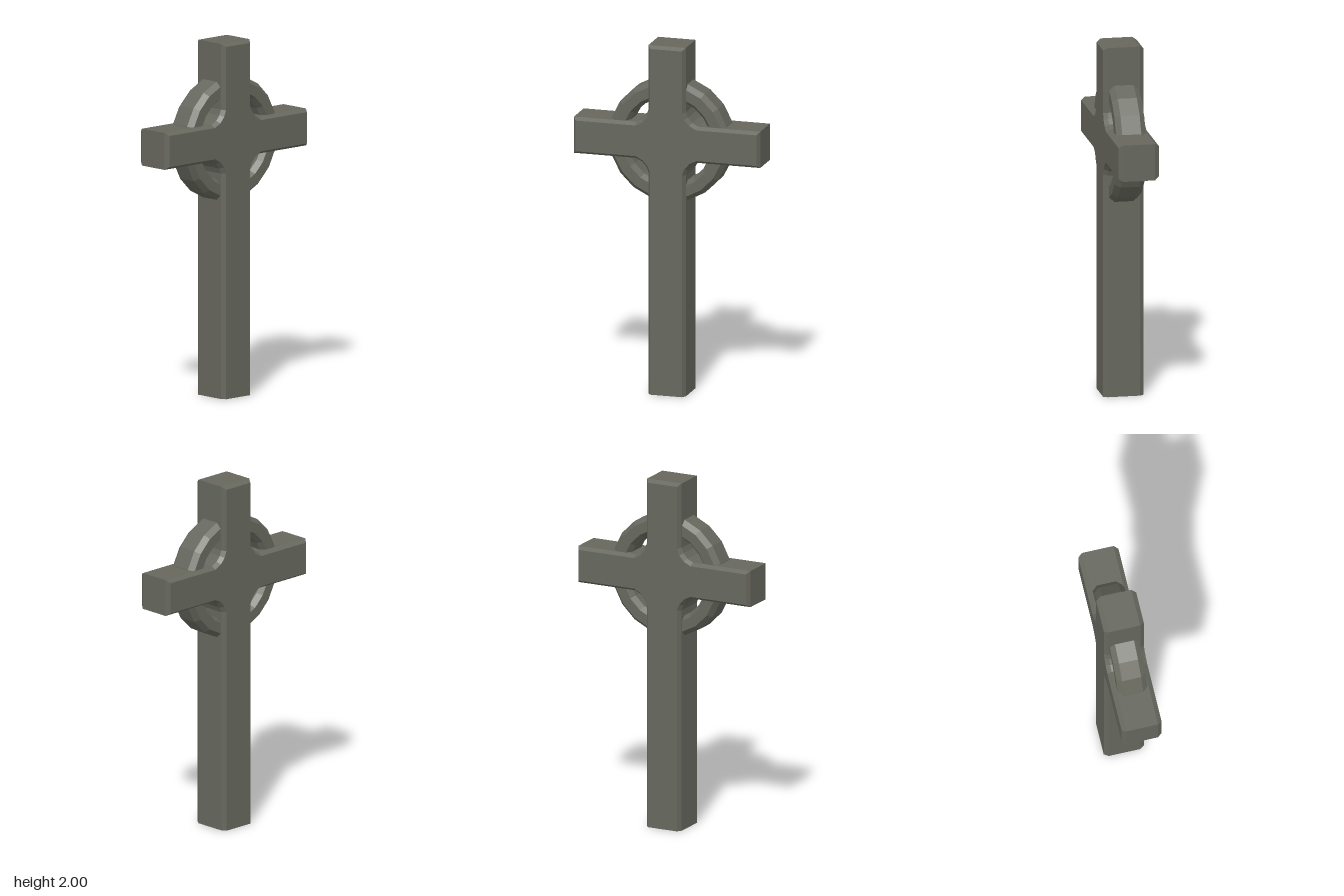
import * as THREE from 'three';

const DEPTH = 0.114, BEVEL_Z = 0.024, BEVEL = 0.016, CENTRE_Y = 1.45;

// Outline of the cross, counter-clockwise from bottom right to bottom left
function crossOutline() {
  const fillet = [[0.108, 0.18], [0.12, 0.15], [0.145, 0.122], [0.18, 0.104]];
  const right = [
    [0.108, 0],
    ...fillet.map(([x, y]) => [x, CENTRE_Y - y]),
    [0.54, CENTRE_Y - 0.104], [0.54, CENTRE_Y + 0.104],
    ...fillet.slice().reverse().map(([x, y]) => [x, CENTRE_Y + y]),
    [0.108, 2],
  ];
  const left = right.slice().reverse().map(([x, y]) => [-x, y]);
  return [...right, ...left].map(([x, y]) => new THREE.Vector2(x, y));
}

// Mitred inset of an open outline; the foot stays on the ground
function inset(points, amount) {
  const normal = (a, b) => new THREE.Vector2(b.y - a.y, a.x - b.x).normalize();
  return points.map((p, i) => {
    const n1 = i > 0 ? normal(points[i - 1], p) : normal(p, points[1]);
    const n2 = i < points.length - 1 ? normal(p, points[i + 1]) : n1;
    const mitre = n1.clone().add(n2).divideScalar(1 + n1.dot(n2));
    return p.clone().addScaledVector(mitre, -amount);
  });
}

// Side walls and chamfers, open at the foot
function wallGeometry(outer, inner) {
  const levels = [[inner, DEPTH], [outer, DEPTH - BEVEL_Z], [outer, BEVEL_Z - DEPTH], [inner, -DEPTH]];
  const pos = [];
  for (let k = 0; k < 3; k++) {
    const [p, z0] = levels[k], [q, z1] = levels[k + 1];
    for (let i = 0; i < outer.length - 1; i++) {
      const a = [p[i].x, p[i].y, z0], b = [p[i + 1].x, p[i + 1].y, z0];
      const c = [q[i + 1].x, q[i + 1].y, z1], d = [q[i].x, q[i].y, z1];
      pos.push(...a, ...d, ...b, ...b, ...d, ...c);
    }
  }
  const geo = new THREE.BufferGeometry();
  geo.setAttribute('position', new THREE.Float32BufferAttribute(pos, 3));
  geo.computeVertexNormals();
  return geo;
}

export function createModel() {
  const model = new THREE.Group();
  model.name = 'ringedCross';
  const stone = new THREE.MeshStandardMaterial({ color: 0x66675d, flatShading: true, side: THREE.DoubleSide });
  stone.name = 'dark stone';

  const add = (name, geo) => {
    const mesh = new THREE.Mesh(geo, stone);
    mesh.name = name;
    model.add(mesh);
    return mesh;
  };

  // Cross body
  const outer = crossOutline();
  const inner = inset(outer, BEVEL);
  add('crossSides', wallGeometry(outer, inner));
  const face = new THREE.ShapeGeometry(new THREE.Shape(inner));
  add('crossFront', face).position.z = DEPTH;
  const back = add('crossBack', face);
  back.position.z = -DEPTH;
  back.rotation.y = Math.PI;

  // Twenty-sided ring with chamfered edges
  const profile = [
    [0.35, -0.054], [0.35, 0.054], [0.325, 0.084], [0.268, 0.084],
    [0.246, 0.054], [0.246, -0.054], [0.268, -0.084], [0.325, -0.084], [0.35, -0.054],
  ].map(([r, y]) => new THREE.Vector2(r, y));
  const ring = new THREE.LatheGeometry(profile, 20);
  ring.rotateX(Math.PI / 2);
  add('ring', ring).position.y = CENTRE_Y;

  return model;
}
